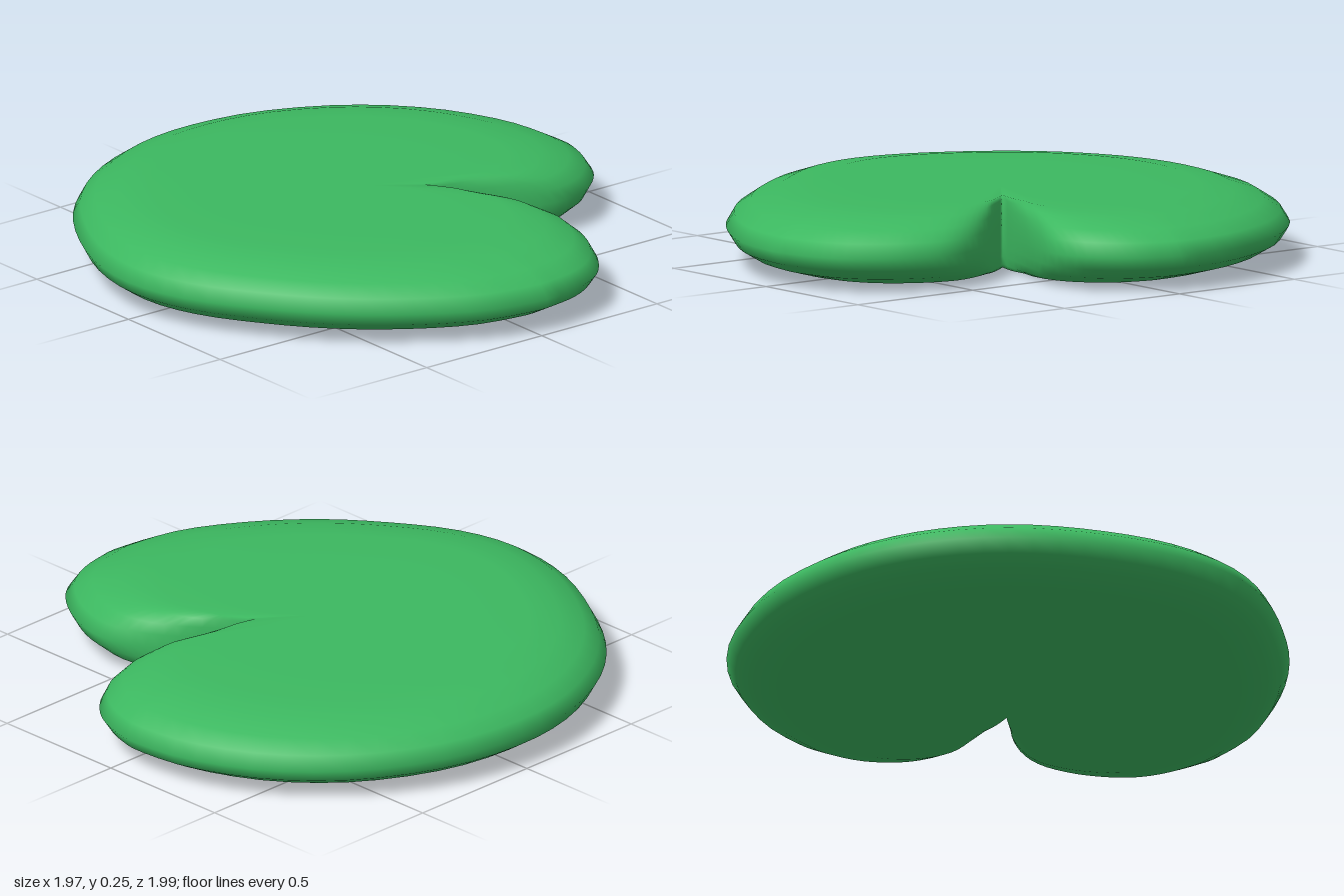
import * as THREE from 'three';

// Outline (x, z), starting and ending at the sharp tip of the notch
const OUTLINE = [
  [0.2, 0.13], [0.28, 0.23], [0.39, 0.36], [0.455, 0.48], [0.475, 0.6], [0.445, 0.72],
  [0.39, 0.82], [0.31, 0.91], [0.21, 0.965], [0.1, 0.99], [0, 0.995], [-0.21, 0.95],
  [-0.44, 0.82], [-0.64, 0.65], [-0.8, 0.45], [-0.93, 0.23], [-0.985, 0], [-0.95, -0.24],
  [-0.84, -0.48], [-0.69, -0.69], [-0.5, -0.85], [-0.26, -0.96], [0, -0.995], [0.3, -0.95],
  [0.6, -0.8], [0.82, -0.58], [0.95, -0.32], [0.985, -0.1], [0.97, 0.01], [0.93, 0.11],
  [0.865, 0.19], [0.78, 0.25], [0.66, 0.278], [0.52, 0.245], [0.37, 0.19], [0.2, 0.13],
];

// Rounded edge: [inset towards the centre, height above the middle plane]
const EDGE = [[0.32, 0.125], [0.19, 0.112], [0.09, 0.083], [0.03, 0.047]];
const MID = 0.125;
const CENTRE = new THREE.Vector2(-0.1, -0.1);
const SEGMENTS = 100;

function createPad() {
  const curve = new THREE.SplineCurve(OUTLINE.map(([x, z]) => new THREE.Vector2(x, z)));
  const rim = curve.getPoints(SEGMENTS).slice(0, SEGMENTS);
  const tip = rim[0];

  // Rings from the underside, around the rim, to the top
  const rings = [
    ...EDGE.map(([inset, h]) => [inset, MID - h]),
    [0, MID],
    ...EDGE.map(([inset, h]) => [inset, MID + h]).reverse(),
  ];
  // Extra inner rings keep the flat faces evenly shaded
  rings.unshift([0.6, 0]);
  rings.push([0.6, 2 * MID]);

  const positions = [];
  for (const [inset, y] of rings) {
    for (const p of rim) {
      // The rounding tightens near the notch tip so it stays pointed
      const soft = THREE.MathUtils.smoothstep(p.distanceTo(tip), 0, 0.4);
      const k = inset >= 0.6 ? inset : inset * (0.2 + 0.8 * soft);
      const q = p.clone().lerp(CENTRE, k);
      positions.push(q.x, y, q.y);
    }
  }
  const bottom = positions.length / 3;
  positions.push(CENTRE.x, 0, CENTRE.y, CENTRE.x, 2 * MID, CENTRE.y);

  const index = [];
  const last = (rings.length - 1) * SEGMENTS;
  for (let i = 0; i < SEGMENTS; i++) {
    const j = (i + 1) % SEGMENTS;
    for (let r = 0; r < last; r += SEGMENTS) {
      const n = r + SEGMENTS;
      index.push(r + i, n + j, r + j, r + i, n + i, n + j);
    }
    // Close the underside and the top at the centre
    index.push(bottom, i, j, bottom + 1, last + j, last + i);
  }

  const geometry = new THREE.BufferGeometry();
  geometry.setAttribute('position', new THREE.Float32BufferAttribute(positions, 3));
  geometry.setIndex(index);
  geometry.computeVertexNormals();
  return geometry;
}

export function createModel() {
  const group = new THREE.Group();
  group.name = 'lilyPad';
  const leaf = new THREE.Mesh(createPad(), new THREE.MeshStandardMaterial({ color: 0x3cb860 }));
  leaf.name = 'leaf';
  group.add(leaf);
  return group;
}
